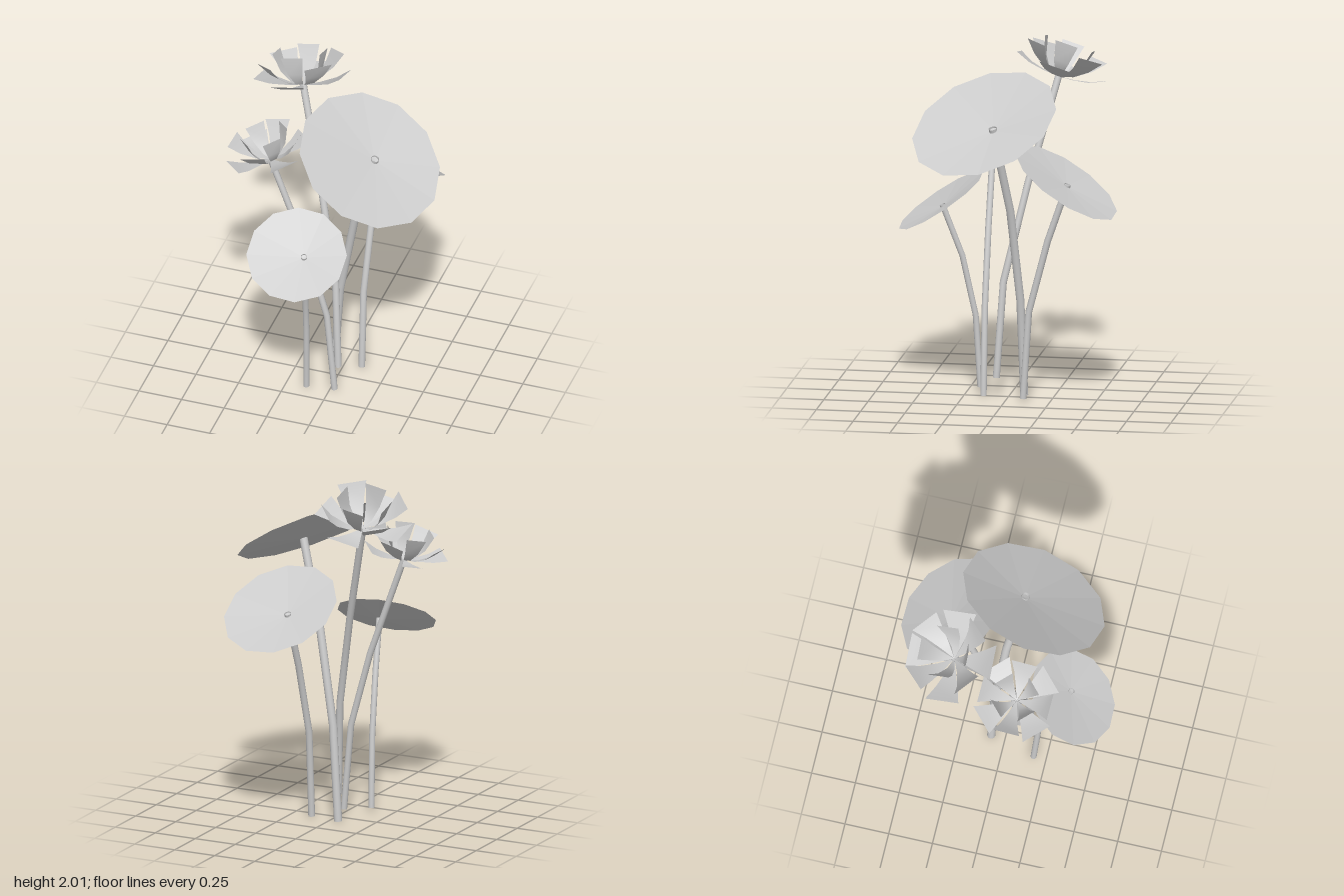
import * as THREE from 'three';

const UP = new THREE.Vector3(0, 1, 0);
const V = (p) => new THREE.Vector3(...p);
const grey = { color: 0xcccccc, side: THREE.DoubleSide };
const smooth = new THREE.MeshStandardMaterial(grey);
const faceted = new THREE.MeshStandardMaterial({ ...grey, flatShading: true });

function tiltTo(normal) {
  return new THREE.Quaternion().setFromUnitVectors(UP, V(normal).normalize());
}

// Open tube with one bend at each inner point
function makeStem(name, points, radius) {
  const curve = new THREE.CatmullRomCurve3(points.map(V));
  curve.getUtoTmapping = (u) => u;
  const stem = new THREE.Mesh(new THREE.TubeGeometry(curve, points.length - 1, radius, 12), smooth);
  stem.name = name;
  return stem;
}

// Twelve-sided leaf disc, dished down to the point where the stem meets it
function makePad(name, centre, hub, normal, radius, turn) {
  const geo = new THREE.CircleGeometry(radius, 12, turn).rotateX(-Math.PI / 2);
  const q = tiltTo(normal);
  const dip = V(hub).sub(V(centre)).applyQuaternion(q.clone().invert());
  geo.attributes.position.setXYZ(0, dip.x, dip.y, dip.z);
  geo.computeVertexNormals();
  const pad = new THREE.Mesh(geo, faceted);
  pad.name = name;
  pad.position.set(...centre);
  pad.quaternion.copy(q);
  return pad;
}

// Wedge petal: pointed at the centre, widest at its straight tip
function petalGeometry(profile, tipWidth) {
  const rows = profile.length - 1;
  const geo = new THREE.PlaneGeometry(1, 1, 1, rows);
  const p = geo.attributes.position;
  for (let i = 0; i < p.count; i++) {
    const row = i >> 1;
    const [r, y] = profile[row];
    p.setXYZ(i, r, y, (i % 2 ? 0.5 : -0.5) * tipWidth * row / rows);
  }
  geo.computeVertexNormals();
  return geo;
}

// Petal rings: profile as [radius, height], tip width, turn in degrees
const layers = [
  ['outerPetal', [[0, 0], [0.09, 0.008], [0.175, 0.025], [0.255, 0.06]], 0.2, 0],
  ['middlePetal', [[0, 0], [0.09, 0.025], [0.17, 0.08], [0.228, 0.15]], 0.17, 45],
  ['innerPetal', [[0, 0], [0.06, 0.02], [0.11, 0.09], [0.14, 0.195]], 0.13, 0],
];

function makeFlower(name, position, normal, turn, scale) {
  const flower = new THREE.Group();
  flower.name = name;
  for (const [part, profile, width, offset] of layers) {
    const geo = petalGeometry(profile, width);
    for (let i = 0; i < 4; i++) {
      const petal = new THREE.Mesh(geo, smooth);
      petal.name = part;
      petal.rotation.y = -THREE.MathUtils.degToRad(turn + offset + i * 90);
      flower.add(petal);
    }
  }
  flower.position.set(...position);
  flower.quaternion.copy(tiltTo(normal));
  flower.scale.setScalar(scale);
  return flower;
}

export function createModel() {
  const model = new THREE.Group();
  model.name = 'flowerBunch';
  const halfStep = Math.PI / 12;

  model.add(
    // Stalks
    makeStem('largePadStem', [[-0.05, 0, -0.08], [-0.01, 0.55, -0.065], [0.09, 1.08, -0.025], [0.235, 1.58, 0.05]], 0.023),
    makeStem('rearPadStem', [[0.105, 0.015, -0.1], [0.105, 0.51, -0.132], [0.115, 0.92, -0.24], [0.125, 1.25, -0.355]], 0.019),
    makeStem('frontPadStem', [[-0.125, 0.02, 0.18], [-0.117, 0.43, 0.205], [-0.1, 0.77, 0.277], [-0.07, 1.065, 0.385]], 0.017),
    makeStem('tallFlowerStem', [[0.022, 0.11, 0.065], [-0.005, 0.65, 0.03], [-0.13, 1.2, -0.09], [-0.285, 1.775, -0.235]], 0.02),
    makeStem('shortFlowerStem', [[0.025, 0.005, 0.137], [-0.02, 0.5, 0.137], [-0.14, 0.93, 0.137], [-0.35, 1.5, 0.137]], 0.018),
    // Leaf discs
    makePad('largePad', [0.22, 1.6, 0.1], [0.23, 1.565, 0.045], [0.485, 0.839, 0.245], 0.425, 0),
    makePad('rearPad', [0.17, 1.27, -0.355], [0.125, 1.24, -0.35], [0.07, 0.833, -0.55], 0.333, halfStep),
    makePad('frontPad', [-0.108, 1.078, 0.4], [-0.07, 1.055, 0.38], [0.1, 0.832, 0.543], 0.281, halfStep),
    // Blossoms
    makeFlower('tallFlower', [-0.285, 1.77, -0.235], [-0.2, 0.95, -0.3], 0, 1),
    makeFlower('shortFlower', [-0.35, 1.5, 0.137], [-0.25, 0.96, 0], 47, 0.88),
  );
  return model;
}
